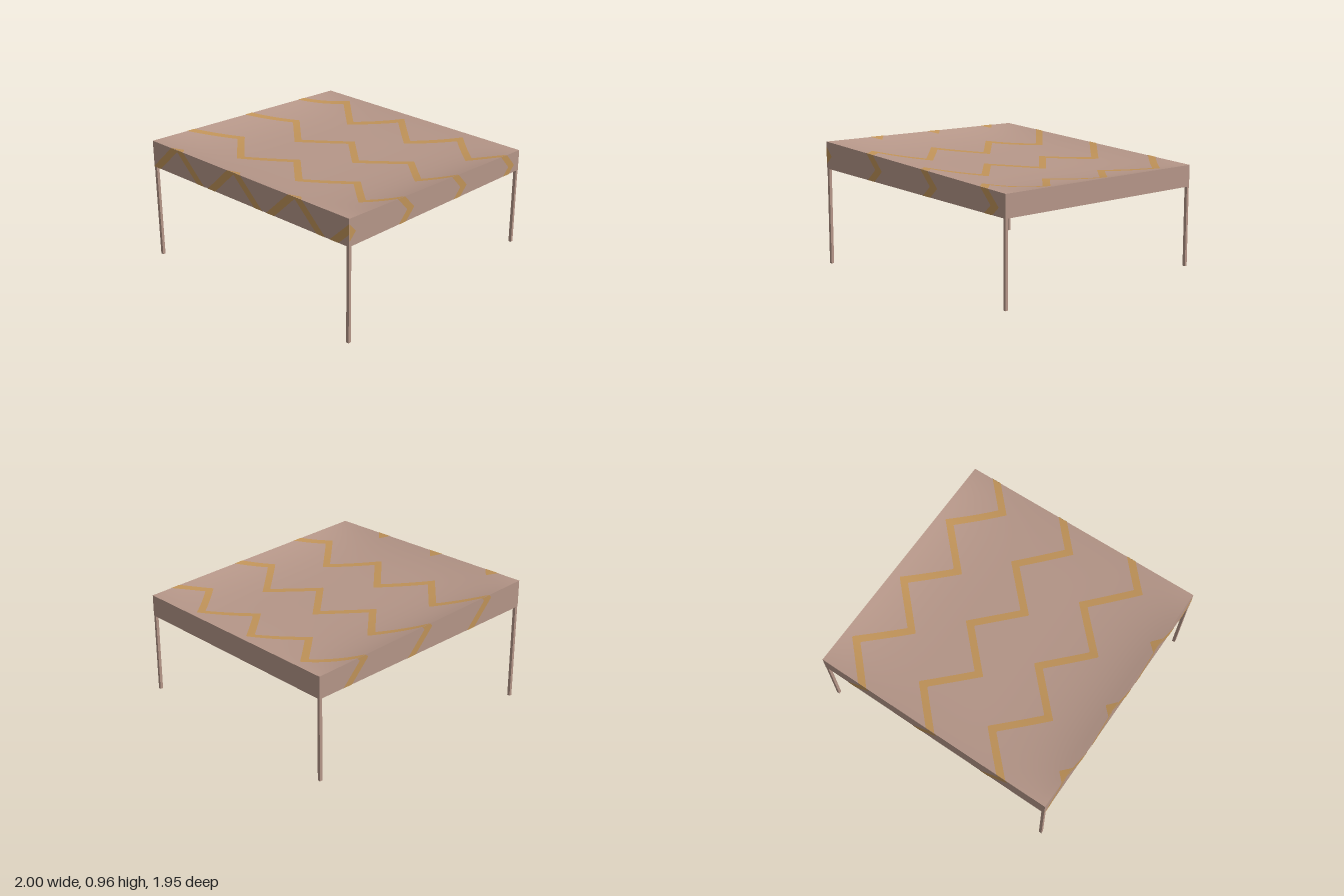
import * as THREE from 'three';

const HX = 1, HZ = 0.975;
const topY = (x) => 0.876 - 0.084 * x;     // sloping upper edge
const lowY = (x) => 0.6875 - 0.0625 * x;   // sloping hem
const drop = (x) => topY(x) - lowY(x);
// Cloth hangs slightly between the rails
const sagY = (x, z) => topY(x) - 0.075 * (1 - (x / HX) ** 4) * (1 - (z / HZ) ** 4);

// Centre line of the zigzag: a triangle wave along the depth v
function zigzag(v) {
  const t = (((v - 0.19) / 0.594) % 1 + 1) % 1;
  return -0.645 + 0.295 * (1 - Math.abs(2 * t - 1));
}

function surface(positions, indices) {
  const g = new THREE.BufferGeometry();
  g.setAttribute('position', new THREE.Float32BufferAttribute(positions, 3));
  g.setIndex(indices);
  g.computeVertexNormals();
  return g;
}

// Four-cornered sheet
function quad(a, b, c, d) {
  return surface([a, b, c, d].flat(), [0, 1, 2, 0, 2, 3]);
}

// Sagging top sheet
function saggingSheet() {
  const g = new THREE.PlaneGeometry(2 * HX, 2 * HZ, 40, 40).rotateX(-Math.PI / 2);
  const p = g.attributes.position;
  for (let i = 0; i < p.count; i++) p.setY(i, sagY(p.getX(i), p.getZ(i)));
  g.computeVertexNormals();
  return g;
}

// Zigzag ribbon laid on a panel, clamped to its u range; flip sets the winding
function ribbon(map, v0, v1, u0, u1, shift, flip) {
  const pos = [], idx = [], rows = Math.ceil((v1 - v0) / 0.01);
  for (let i = 0; i <= rows; i++) {
    const v = v0 + (v1 - v0) * i / rows;
    for (const s of [-0.039, 0.039]) {
      const u = Math.min(u1, Math.max(u0, zigzag(v) + shift + s));
      pos.push(...map(u, v));
    }
    if (i < rows) {
      const k = i * 2;
      idx.push(...(flip ? [k, k + 1, k + 2, k + 1, k + 3, k + 2]
        : [k, k + 2, k + 1, k + 1, k + 2, k + 3]));
    }
  }
  return surface(pos, idx);
}

export function createModel() {
  const group = new THREE.Group();
  const cloth = new THREE.MeshStandardMaterial({ color: 0xb59688, side: THREE.DoubleSide });
  cloth.name = 'dusty brown cloth';
  const gold = new THREE.MeshStandardMaterial({ color: 0xbf9258, side: THREE.DoubleSide });
  gold.name = 'gold stripe';
  const frame = new THREE.MeshStandardMaterial({ color: 0xb59688 });
  frame.name = 'brown frame';

  const add = (name, geometry, material) => {
    const mesh = new THREE.Mesh(geometry, material);
    mesh.name = name;
    group.add(mesh);
    return mesh;
  };

  // Canopy sheet and hanging sides
  const hi = (x, z) => [x, topY(x), z];
  const lo = (x, z) => [x, lowY(x), z];
  add('canopyTop', saggingSheet(), cloth);
  const corners = [[-HX, HZ], [HX, HZ], [HX, -HZ], [-HX, -HZ]];
  ['frontValance', 'leftValance', 'backValance', 'rightValance'].forEach((name, i) => {
    const a = corners[i], b = corners[(i + 1) % 4];
    add(name, quad(lo(...a), lo(...b), hi(...b), hi(...a)), cloth);
  });

  // Zigzag stripes on both faces of the cloth, running over the edges
  for (const e of [0.002, -0.002]) {
    const onTop = (u, v) => [u, sagY(u, v) + e, v];
    const onFront = (u, v) => [u, topY(u) - Math.min(v - HZ, drop(u)), HZ + e];
    const onBack = (u, v) => [u, topY(u) - Math.min(-HZ - v, drop(u)), -HZ - e];
    const onSide = (u, v) => [-HX - e, topY(-HX) + (u + HX), v];
    const inner = e < 0;
    for (let c = -1; c < 3; c++) {
      const s = c * 0.623;
      add('topStripe', ribbon(onTop, -HZ, HZ, -HX, HX, s, inner), gold);
      add('frontStripe', ribbon(onFront, HZ, HZ + 0.21, -HX, HX, s, inner), gold);
      if (c >= 0) add('backStripe', ribbon(onBack, -HZ - 0.21, -HZ, -HX, HX, s, inner), gold);
    }
    add('sideStripe', ribbon(onSide, -HZ, HZ, -HX - drop(-HX), -HX, -0.623, inner), gold);
  }

  // Square legs reaching up inside the cloth, and rails under the top
  const slope = Math.atan(-0.084);
  for (const s of [-1, 1]) {
    const x = s * 0.987;
    const h = topY(x) - 0.012;
    for (const t of [-1, 1]) {
      const leg = add('leg', new THREE.BoxGeometry(0.023, h, 0.023), frame);
      leg.position.set(x, h / 2, t * 0.962);
    }
    const crossRail = add('crossRail', new THREE.BoxGeometry(0.023, 0.023, 1.92), frame);
    crossRail.position.set(x, topY(x) - 0.02, 0);
    const sideRail = add('slopingRail', new THREE.BoxGeometry(1.97, 0.023, 0.023), frame);
    sideRail.position.set(0, topY(0) - 0.02, s * 0.962);
    sideRail.rotation.z = slope;
  }
  return group;
}
